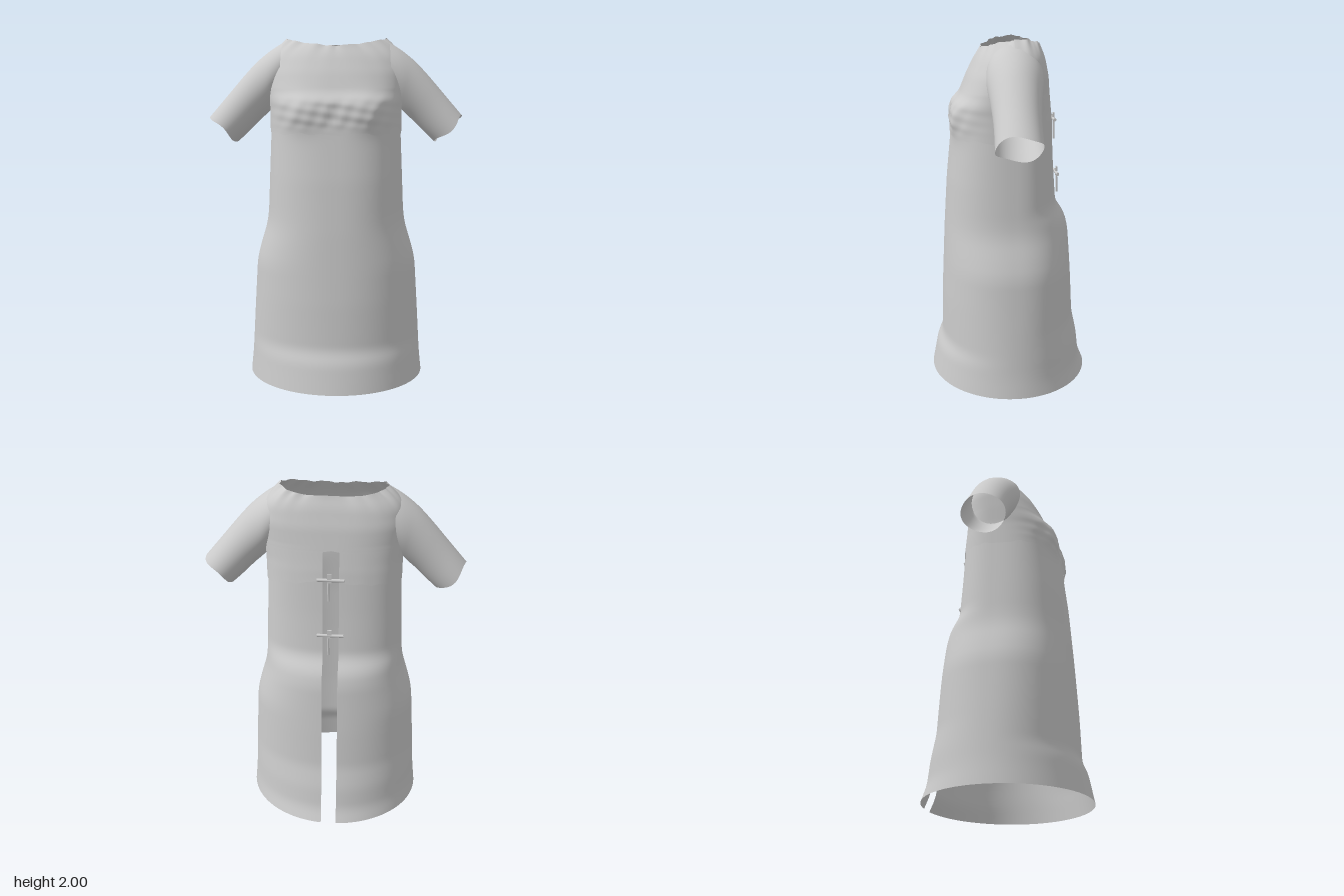
import * as THREE from 'three';
import { mergeVertices } from 'three/addons/utils/BufferGeometryUtils.js';

const material = new THREE.MeshStandardMaterial({ color: 0xcccccc, side: THREE.DoubleSide });

// Piecewise profile [y, value] with its corners softened.
function profile(points, soft = 0.02) {
  const linear = (y) => {
    if (y <= points[0][0]) return points[0][1];
    for (let i = 1; i < points.length; i++) {
      const [y0, v0] = points[i - 1], [y1, v1] = points[i];
      if (y <= y1) return v0 + (v1 - v0) * (y - y0) / (y1 - y0);
    }
    return points[points.length - 1][1];
  };
  const first = points[0][0], last = points[points.length - 1][0];
  return (y) => {
    const s = Math.min(soft, y - first, last - y);
    if (s <= 0) return linear(y);
    let sum = 0;
    for (let k = -3; k <= 3; k++) sum += linear(y + s * k / 3);
    return sum / 7;
  };
}

// Surface from a rule giving the point at (row, column), both 0..1.
function sheet(name, rule, rows, cols) {
  const pos = [], index = [];
  for (let i = 0; i <= rows; i++) {
    for (let j = 0; j <= cols; j++) pos.push(...rule(i / rows, j / cols));
  }
  const w = cols + 1;
  for (let i = 0; i < rows; i++) {
    for (let j = 0; j < cols; j++) {
      const p = i * w + j;
      index.push(p, p + w, p + 1, p + w, p + w + 1, p + 1);
    }
  }
  let geo = new THREE.BufferGeometry();
  geo.setAttribute('position', new THREE.Float32BufferAttribute(pos, 3));
  geo.setIndex(index);
  geo = mergeVertices(geo, 1e-5);
  geo.computeVertexNormals();
  const mesh = new THREE.Mesh(geo, material);
  mesh.name = name;
  return mesh;
}

// Point on a body section, starting at one slit edge in the back and ending at the other.
function section(v, hx, front, back, nFront, nBack, gap) {
  const a0 = gap ? Math.asin(Math.pow(gap / hx, nBack / 2)) : 0;
  const a = a0 + v * (2 * Math.PI - 2 * a0);
  const s = Math.sin(a), c = -Math.cos(a);
  const n = c > 0 ? nFront : nBack;
  const x = hx * Math.sign(s) * Math.pow(Math.abs(s), 2 / n);
  const z = (c > 0 ? front : back) * Math.sign(c) * Math.pow(Math.abs(c), 2 / n);
  return { x, z, s, c };
}

// Two soft bumps on the chest.
function bust(x, y) {
  const dx = (Math.abs(x) - 0.2) / 0.11, dy = (y - 1.57) / 0.09;
  return 0.03 * Math.exp(-dx * dx - dy * dy);
}

const skirtWidth = profile([[0, 0.525], [0.12, 0.512], [0.4, 0.495], [0.7, 0.475], [0.78, 0.455],
  [0.92, 0.412], [1.0, 0.402], [1.2, 0.393], [1.48, 0.38]], 0.04);
const skirtFront = profile([[0, 0.475], [0.17, 0.442], [0.23, 0.412], [0.5, 0.405], [0.9, 0.385],
  [1.2, 0.365], [1.48, 0.335]], 0.03);
const skirtBack = profile([[0, 0.472], [0.08, 0.438], [0.22, 0.42], [0.36, 0.388], [0.6, 0.373],
  [0.9, 0.35], [0.98, 0.33], [1.06, 0.272], [1.3, 0.252], [1.53, 0.238]], 0.03);

function skirtPoint(u, v) {
  const y0 = u * 1.48;
  const n = 2 + 0.6 * u;
  const p = section(v, skirtWidth(y0), skirtFront(y0), skirtBack(y0), n, n, 0.045);
  // the back rises a little higher than the front
  const y = y0 + (p.c < 0 ? 0.05 * p.c * p.c * u ** 8 : 0);
  return [p.x, y, p.z + (p.c > 0 ? bust(p.x, y) * p.c : 0)];
}

const topWidth = profile([[1.46, 0.385], [1.6, 0.385], [1.7, 0.395], [1.8, 0.402], [1.88, 0.385],
  [1.925, 0.34], [1.955, 0.29]]);
const topFront = profile([[1.46, 0.34], [1.52, 0.335], [1.64, 0.328], [1.69, 0.285], [1.8, 0.243],
  [1.9, 0.195], [1.955, 0.16]]);
const topBack = profile([[1.46, 0.245], [1.55, 0.24], [1.7, 0.225], [1.8, 0.214], [1.9, 0.19], [1.955, 0.165]]);

function topPoint(u, v) {
  const y0 = 1.46 + u * 0.495;
  const k = Math.max(0, (u - 0.5) / 0.5);
  const p = section(v, topWidth(y0), topFront(y0), topBack(y0),
    2.6 - 0.9 * k, 2.6 + 0.5 * k, y0 < 1.68 ? 0.045 : 0);
  const a = v * 2 * Math.PI;
  // ragged hem and neckline, raised shoulders
  const ragged = Math.sin(a * 9 + 1) + 0.7 * Math.sin(a * 16) + 0.5 * Math.sin(a * 23 + 2);
  const hem = 0.005 * ragged + (p.c < 0 ? 0.05 * p.c * p.c : 0);
  const neck = 0.045 * p.s * p.s + (p.c < 0 ? 0.015 * p.c * p.c : -0.005) + 0.002 * ragged;
  const y = y0 + hem * (1 - u) ** 4 + neck * u ** 4;
  const scale = 1 + 0.018 * ragged * u ** 24;
  let z = p.z * scale;
  if (p.c > 0) {
    // gathered cloth across the chest
    const band = Math.exp(-(((y - 1.57) / 0.075) ** 4)) * p.c;
    const folds = Math.sin(31 * p.x + 40 * y) * Math.sin(62 * y - 14 * p.x) + 0.6 * Math.sin(70 * p.x - 25 * y);
    z += bust(p.x, y) * p.c + 0.004 * band * folds;
  }
  return [p.x * scale, y, z];
}

// Sleeve stations: upper edge, lower edge, half depth.
const upper = new THREE.SplineCurve([[0.31, 1.975], [0.38, 1.932], [0.46, 1.868], [0.54, 1.785],
  [0.64, 1.67], [0.74, 1.555]].map((p) => new THREE.Vector2(...p)));
const lower = new THREE.SplineCurve([[0.32, 1.68], [0.36, 1.625], [0.4, 1.575], [0.46, 1.52],
  [0.525, 1.455], [0.582, 1.402]].map((p) => new THREE.Vector2(...p)));
const depth = profile([[0, 0.15], [0.2, 0.155], [0.45, 0.138], [0.75, 0.124], [1, 0.126]], 0.1);

function sleevePoint(side, u, v) {
  const a = v * 2 * Math.PI, t = (1 + Math.cos(a)) / 2;
  const top = upper.getPoint(u), low = lower.getPoint(u);
  const x = low.x + (top.x - low.x) * t, y = low.y + (top.y - low.y) * t;
  // cuff edge waves slightly
  const wave = 0.008 * Math.sin(3 * a) * u ** 10;
  return [side * (x + wave), y - wave, 0.015 * u - side * depth(u) * Math.sin(a)];
}

// Closure across the back slit: a bar with a clip and a hanging tail.
function closure(y, z) {
  const group = new THREE.Group();
  group.name = 'backClosure';
  const add = (name, geo, px, py, pz) => {
    const mesh = new THREE.Mesh(geo, material);
    mesh.name = name;
    mesh.position.set(px, py, pz);
    group.add(mesh);
  };
  add('bar', new THREE.CylinderGeometry(0.009, 0.009, 0.15, 10).rotateZ(Math.PI / 2), 0, 0, 0);
  add('clip', new THREE.BoxGeometry(0.024, 0.05, 0.008), 0.005, 0.01, -0.003);
  const path = new THREE.CatmullRomCurve3([[0.01, 0.025, 0.003], [0.012, -0.03, -0.003], [0.01, -0.12, -0.005]]
    .map((p) => new THREE.Vector3(...p)));
  add('tail', new THREE.TubeGeometry(path, 12, 0.006, 6), 0, 0, 0);
  group.position.set(0, y, z);
  return group;
}

export function createModel() {
  const model = new THREE.Group();
  model.name = 'gown';
  model.add(sheet('skirt', skirtPoint, 90, 120));
  model.add(sheet('bodice', topPoint, 60, 180));
  for (const side of [1, -1]) {
    model.add(sheet(side > 0 ? 'leftSleeve' : 'rightSleeve', (u, v) => sleevePoint(side, u, v), 30, 48));
  }
  model.add(closure(1.535, -0.265), closure(1.21, -0.288));
  return model;
}
